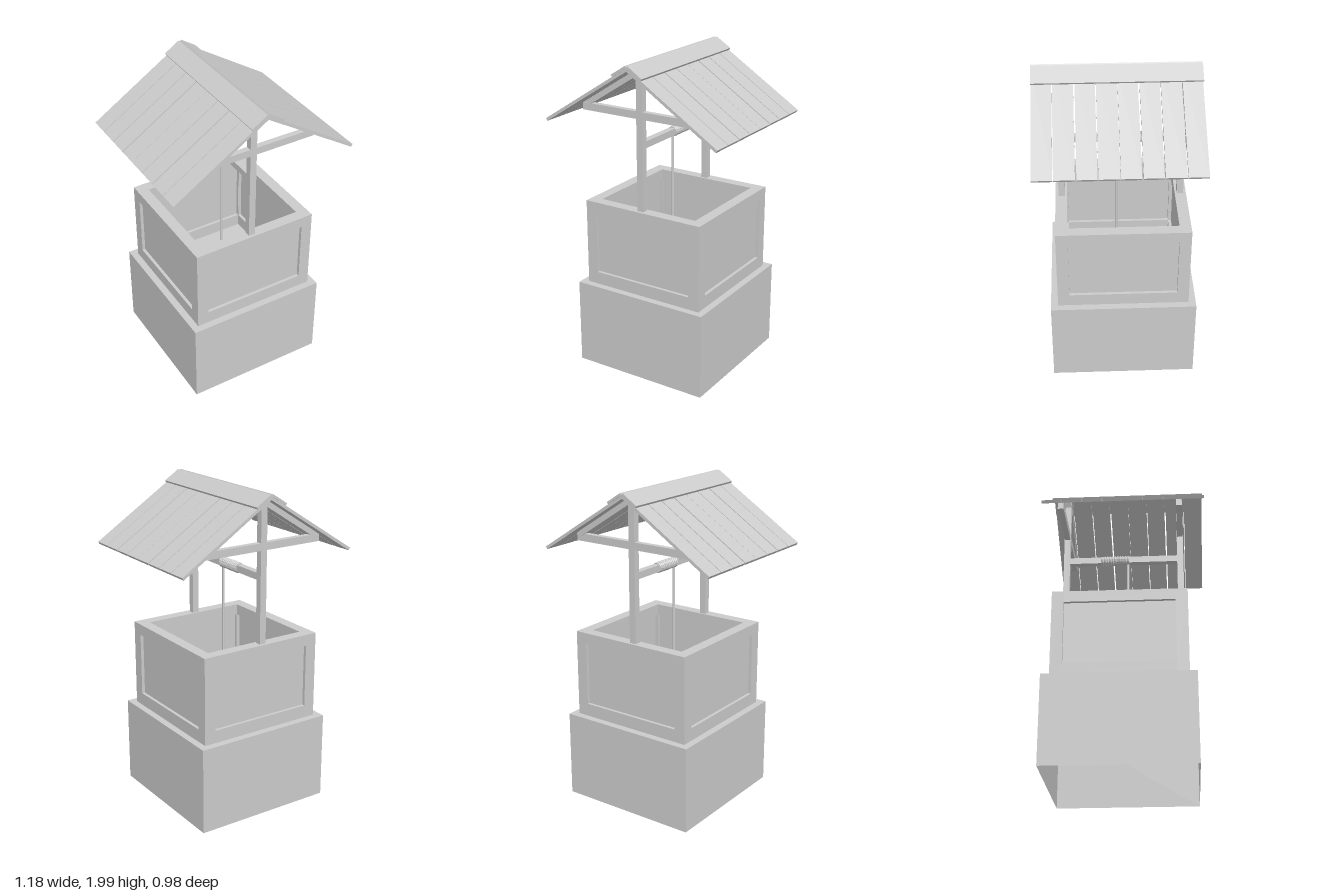
import * as THREE from 'three';

export function createModel() {
  const model = new THREE.Group();
  model.name = 'well';
  const mat = new THREE.MeshStandardMaterial({ color: 0xcccccc, flatShading: true, side: THREE.DoubleSide });

  function add(parent, name, geo) {
    const mesh = new THREE.Mesh(geo, mat);
    mesh.name = name;
    parent.add(mesh);
    return mesh;
  }
  // Box given by its lower and upper limits on each axis
  function box(parent, name, x0, x1, y0, y1, z0, z1) {
    const geo = new THREE.BoxGeometry(x1 - x0, y1 - y0, z1 - z0);
    geo.translate((x0 + x1) / 2, (y0 + y1) / 2, (z0 + z1) / 2);
    return add(parent, name, geo);
  }
  function rect(path, x0, x1, y0, y1) {
    path.moveTo(x0, y0);
    path.lineTo(x1, y0);
    path.lineTo(x1, y1);
    path.lineTo(x0, y1);
    path.closePath();
    return path;
  }

  // Base: box open at the bottom (the four bottom-face vertices are 12 to 15)
  const base = box(model, 'base', -0.442, 0.455, 0, 0.545, -0.475, 0.422);
  const index = Array.from(base.geometry.index.array);
  base.geometry.setIndex(index.filter((v) => v < 12 || v > 15));

  // Upper walls: four frames, each with a recessed panel
  const half = 0.404, thick = 0.07;
  const shape = rect(new THREE.Shape(), -half, half, 0.545, 1.09);
  shape.holes.push(rect(new THREE.Path(), -0.332, 0.332, 0.625, 1.02));
  const walls = new THREE.Group();
  walls.name = 'walls';
  walls.position.set(0.007, 0, -0.026);
  model.add(walls);
  for (let i = 0; i < 4; i++) {
    const wall = new THREE.Group();
    wall.name = 'wall';
    wall.rotation.y = (i * Math.PI) / 2;
    walls.add(wall);
    const frame = new THREE.ExtrudeGeometry(shape, { depth: thick, bevelEnabled: false });
    frame.translate(0, 0, half - thick);
    add(wall, 'wallFrame', frame);
    box(wall, 'wallPanel', -0.333, 0.333, 0.624, 1.021, half - 0.05, half - 0.02);
  }

  // Roof slopes, each lying along its own local x from the ridge
  const ridgeX = -0.004, ridgeY = 1.983, slope = Math.atan(0.637), length = 0.7;
  const trussZ = [0.339, -0.392];
  const boards = [
    [-0.485, -0.369], [-0.364, -0.245], [-0.239, -0.125], [-0.116, -0.001],
    [0.001, 0.121], [0.126, 0.241], [0.249, 0.368], [0.372, 0.488],
  ];
  for (const side of [1, -1]) {
    const roof = new THREE.Group();
    roof.name = side > 0 ? 'leftRoof' : 'rightRoof';
    roof.position.set(ridgeX, ridgeY, 0);
    roof.rotation.set(0, side > 0 ? 0 : Math.PI, -side * slope);
    // turn about the ridge after facing outwards
    roof.rotation.order = 'ZYX';
    model.add(roof);
    for (const [z0, z1] of boards) {
      box(roof, 'roofBoard', 0, length, -0.018, 0, side > 0 ? z0 : -z1, side > 0 ? z1 : -z0);
    }
    box(roof, 'ridgeCap', 0, 0.115, 0, 0.014, -0.49, 0.49);
    for (const z of trussZ) {
      box(roof, 'rafter', 0.01, 0.475, -0.05, -0.018, side * z - 0.019, side * z + 0.019);
    }
  }

  // Posts and tie beams
  for (const z of trussZ) {
    box(model, 'post', -0.031, 0.011, 1.03, 1.955, z - 0.02, z + 0.02);
    box(model, 'tieBeam', -0.415, 0.4, 1.657, 1.702, z - 0.018, z + 0.018);
  }

  // Crossbar with rope wound on it and hanging into the well
  box(model, 'crossbar', -0.031, 0.011, 1.478, 1.52, trussZ[1], trussZ[0]);
  const rope = new THREE.CylinderGeometry(0.008, 0.008, 0.9, 8);
  rope.translate(-0.01, 1.03, 0.002);
  add(model, 'rope', rope);
  for (let i = 0; i < 11; i++) {
    const coil = new THREE.TorusGeometry(0.0255, 0.008, 6, 12);
    coil.translate(-0.01, 1.499, 0.002 - i * 0.0165);
    add(model, 'ropeCoil', coil);
  }

  return model;
}
